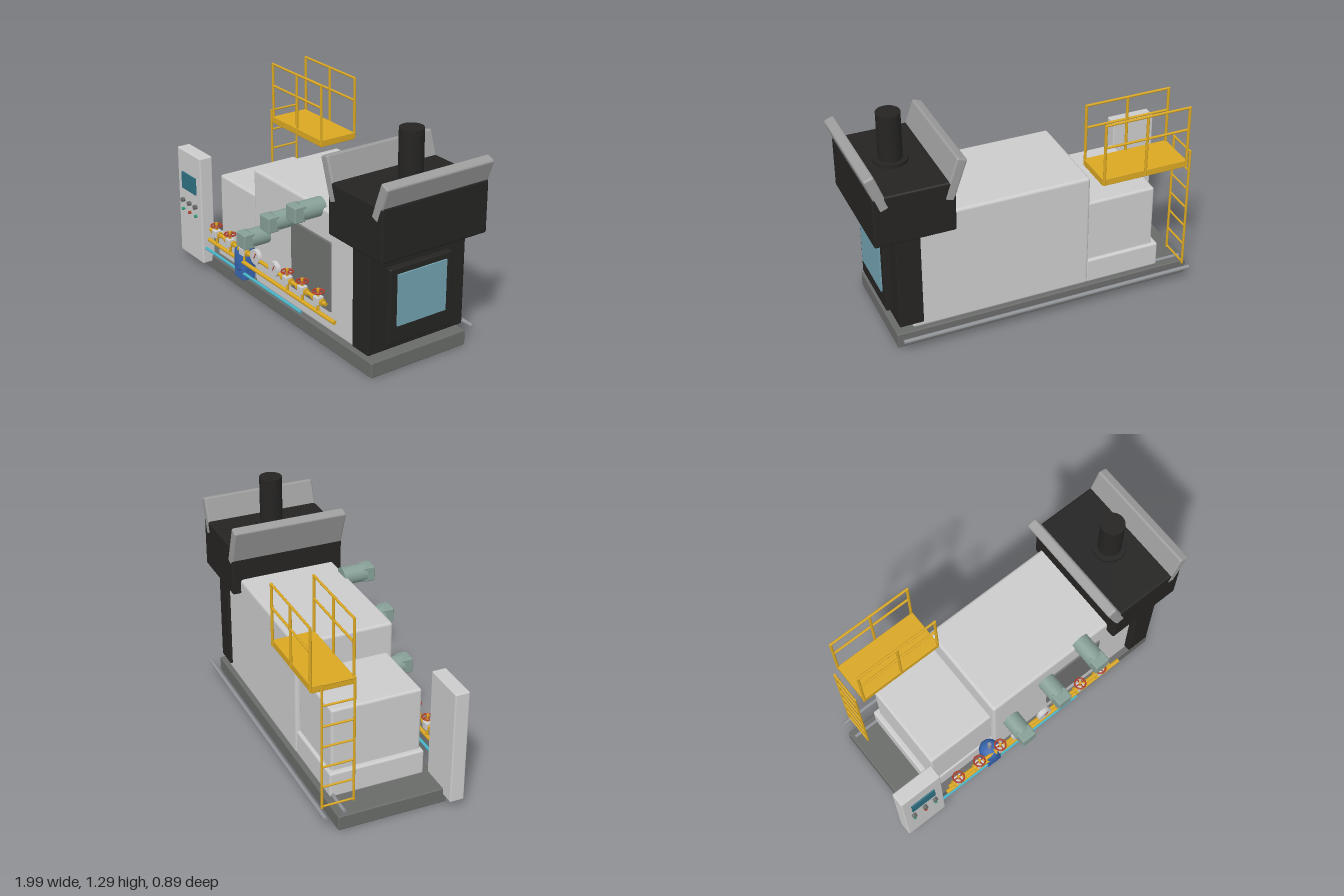
import * as THREE from 'three';
import { RoundedBoxGeometry } from 'three/addons/geometries/RoundedBoxGeometry.js';

const mat = (color) => new THREE.MeshStandardMaterial({ color });
const M = {
  light: mat(0xcccccc), base: mat(0x696b69), door: mat(0x6f716f), black: mat(0x252423),
  flap: mat(0x9c9c9c), yellow: mat(0xd9a722), burner: mat(0x869f96), blue: mat(0x3765ae),
  cyan: mat(0x48b4c8), glass: mat(0x72a1b0), screen: mat(0x2f7182), red: mat(0xb0402c),
  green: mat(0x2fa070), steel: mat(0x8f9296)
};

export function createModel() {
  const root = new THREE.Group();
  const add = (name, geo, m, parent = root) => {
    const mesh = new THREE.Mesh(geo, m);
    mesh.name = name;
    parent.add(mesh);
    return mesh;
  };
  // Box from its limits; r > 0 rounds the edges
  const box = (name, m, [x0, x1], [y0, y1], [z0, z1], r = 0, parent = root) => {
    const s = [x1 - x0, y1 - y0, z1 - z0];
    const g = r ? new RoundedBoxGeometry(...s, 3, r) : new THREE.BoxGeometry(...s);
    const mesh = add(name, g, m, parent);
    mesh.position.set((x0 + x1) / 2, (y0 + y1) / 2, (z0 + z1) / 2);
    return mesh;
  };
  // Round bar between two points
  const bar = (name, m, a, b, r, parent = root, seg = 12, r2 = r) => {
    const A = new THREE.Vector3(...a), B = new THREE.Vector3(...b);
    const mesh = add(name, new THREE.CylinderGeometry(r2, r, A.distanceTo(B), seg), m, parent);
    mesh.position.copy(A).add(B).multiplyScalar(0.5);
    mesh.quaternion.setFromUnitVectors(new THREE.Vector3(0, 1, 0), B.sub(A).normalize());
    return mesh;
  };
  const group = (name) => {
    const g = new THREE.Group();
    g.name = name;
    root.add(g);
    return g;
  };

  // Skid and machine housings
  box('baseSkid', M.base, [-0.92, 0.855], [0, 0.09], [-0.33, 0.305], 0.008);
  box('mainHousing', M.light, [-0.3, 0.755], [0.085, 0.79], [-0.305, 0.275], 0.018);
  box('smallHousing', M.light, [-0.715, -0.29], [0.22, 0.61], [-0.28, 0.245], 0.015);
  box('smallHousingPlinth', M.light, [-0.745, -0.29], [0.085, 0.235], [-0.3, 0.255], 0.012);
  box('frontDoor', M.door, [0.085, 0.457], [0.21, 0.62], [0.25, 0.285], 0.006);

  // Exhaust column, hood, flaps and chimney
  box('exhaustColumn', M.black, [0.695, 0.835], [0.125, 0.72], [-0.32, 0.315], 0.008);
  box('hood', M.black, [0.502, 0.957], [0.7, 1.0], [-0.355, 0.33], 0.012);
  for (const [x, y, len, tilt] of [[0.502, 1.008, 0.25, 0.33], [0.929, 1.022, 0.22, -0.36]]) {
    const flap = add('hoodFlap', new RoundedBoxGeometry(0.06, len, 0.687, 3, 0.012), M.flap);
    flap.position.set(x, y, -0.0125);
    flap.rotation.z = tilt;
  }
  bar('chimneyCollar', M.black, [0.74, 0.99, -0.015], [0.74, 1.02, -0.015], 0.095, root, 40);
  bar('chimney', M.black, [0.74, 1.0, -0.015], [0.74, 1.29, -0.015], 0.066, root, 40);
  box('windowFrame', M.black, [0.825, 0.872], [0.17, 0.605], [-0.207, 0.205], 0.008);
  box('windowGlass', M.glass, [0.86, 0.882], [0.275, 0.57], [-0.16, 0.16]);

  // Burners on the front wall
  for (const [x, y] of [[-0.18, 0.435], [0.07, 0.63], [0.325, 0.78]]) {
    const g = group('burner');
    bar('burnerBarrel', M.burner, [x, y, 0.25], [x, y, 0.395], 0.053, g, 32);
    box('burnerMotor', M.burner, [x - 0.045, x + 0.045], [y - 0.046, y + 0.046], [0.375, 0.446], 0.008, g);
  }

  // Control cabinet
  const cab = group('controlCabinet');
  box('cabinetBody', M.light, [-1, -0.738], [0.05, 0.725], [0.283, 0.367], 0.008, cab);
  box('cabinetScreen', M.screen, [-0.947, -0.79], [0.48, 0.585], [0.36, 0.376], 0, cab);
  [-0.943, -0.868, -0.798].forEach((x, i) => {
    bar('knob', M.base, [x, 0.402, 0.36], [x, 0.402, 0.386], 0.014, cab, 20);
    bar('button', i === 1 ? M.red : M.green, [x, 0.343, 0.36], [x, 0.343, 0.382], 0.009, cab, 16);
  });

  // Gas train: two supply pipes, valves and gauges
  const gas = group('gasTrain'), pz = 0.343;
  bar('upperGasPipe', M.yellow, [-0.68, 0.295, pz], [0.5, 0.295, pz], 0.011, gas);
  bar('lowerGasPipe', M.yellow, [-0.7, 0.22, pz], [0.58, 0.22, pz], 0.012, gas);
  bar('waterPipe', M.cyan, [-0.74, 0.148, pz], [0.265, 0.148, pz], 0.009, gas);
  for (const x of [-0.61, -0.46, -0.31, 0.135, 0.28, 0.43]) {
    box('valveBody', M.light, [x - 0.022, x + 0.022], [0.272, 0.317], [pz - 0.022, pz + 0.022], 0.004, gas);
    for (const s of [-1, 1])
      bar('valveFlange', M.yellow, [x + s * 0.034, 0.295, pz], [x + s * 0.044, 0.295, pz], 0.019, gas, 16);
    bar('valveStem', M.yellow, [x, 0.22, pz], [x, 0.362, pz], 0.008, gas);
    const wheel = add('valveHandwheel', new THREE.TorusGeometry(0.032, 0.005, 8, 24), M.red, gas);
    wheel.rotation.x = Math.PI / 2;
    wheel.position.set(x, 0.344, pz);
    bar('handwheelSpoke', M.red, [x - 0.032, 0.344, pz], [x + 0.032, 0.344, pz], 0.004, gas, 8);
    bar('handwheelSpoke', M.red, [x, 0.344, pz - 0.032], [x, 0.344, pz + 0.032], 0.004, gas, 8);
  }
  for (const x of [-0.18, 0.01]) {
    bar('gaugeDial', M.light, [x, 0.31, pz - 0.012], [x, 0.31, pz + 0.014], 0.045, gas, 32);
    bar('gaugeNeedle', M.red, [x, 0.305, pz + 0.015], [x + 0.018, 0.337, pz + 0.015], 0.003, gas, 8);
  }

  // Pump: domed motor on a foot block
  const pump = group('pump');
  box('pumpFoot', M.blue, [-0.408, -0.31], [0.102, 0.19], [0.265, 0.352], 0.008, pump);
  const dome = [[0, 0.15], [0.045, 0.155], [0.06, 0.175], [0.06, 0.275], [0.05, 0.3], [0.03, 0.31], [0, 0.312]]
    .map(([r, y]) => new THREE.Vector2(r, y));
  add('pumpMotor', new THREE.LatheGeometry(dome, 32), M.blue, pump).position.set(-0.36, 0, 0.307);
  bar('pumpStem', M.steel, [-0.36, 0.3, 0.307], [-0.36, 0.37, 0.307], 0.012, pump);

  // Service platform with a guard rail along each long side
  const deck = group('servicePlatform');
  box('platformFloor', M.yellow, [-0.815, -0.305], [0.81, 0.852], [-0.435, -0.195], 0.004, deck);
  for (const z of [-0.2, -0.437]) {
    for (const x of [-0.811, -0.56, -0.312])
      bar('railPost', M.yellow, [x, 0.82, z], [x, 1.185, z], 0.008, deck);
    for (const y of [1.048, 1.183])
      bar('guardRail', M.yellow, [-0.815, y, z], [-0.307, y, z], 0.007, deck);
  }

  // Ladder beside the platform
  const ladder = group('ladder');
  for (const z of [-0.396, -0.215])
    bar('ladderStile', M.yellow, [-0.857, 0.125, z], [-0.857, 0.882, z], 0.007, ladder);
  for (let i = 0; i < 7; i++) {
    const y = 0.135 + i * 0.1235;
    bar('ladderRung', M.yellow, [-0.857, y, -0.4], [-0.857, y, -0.211], 0.006, ladder);
  }

  // Pipes along the back
  bar('rearPipe', M.steel, [-0.905, 0.085, -0.395], [0.84, 0.085, -0.395], 0.012);
  bar('rearInnerPipe', M.steel, [-0.9, 0.1, -0.285], [0.7, 0.1, -0.285], 0.01);

  return root;
}
